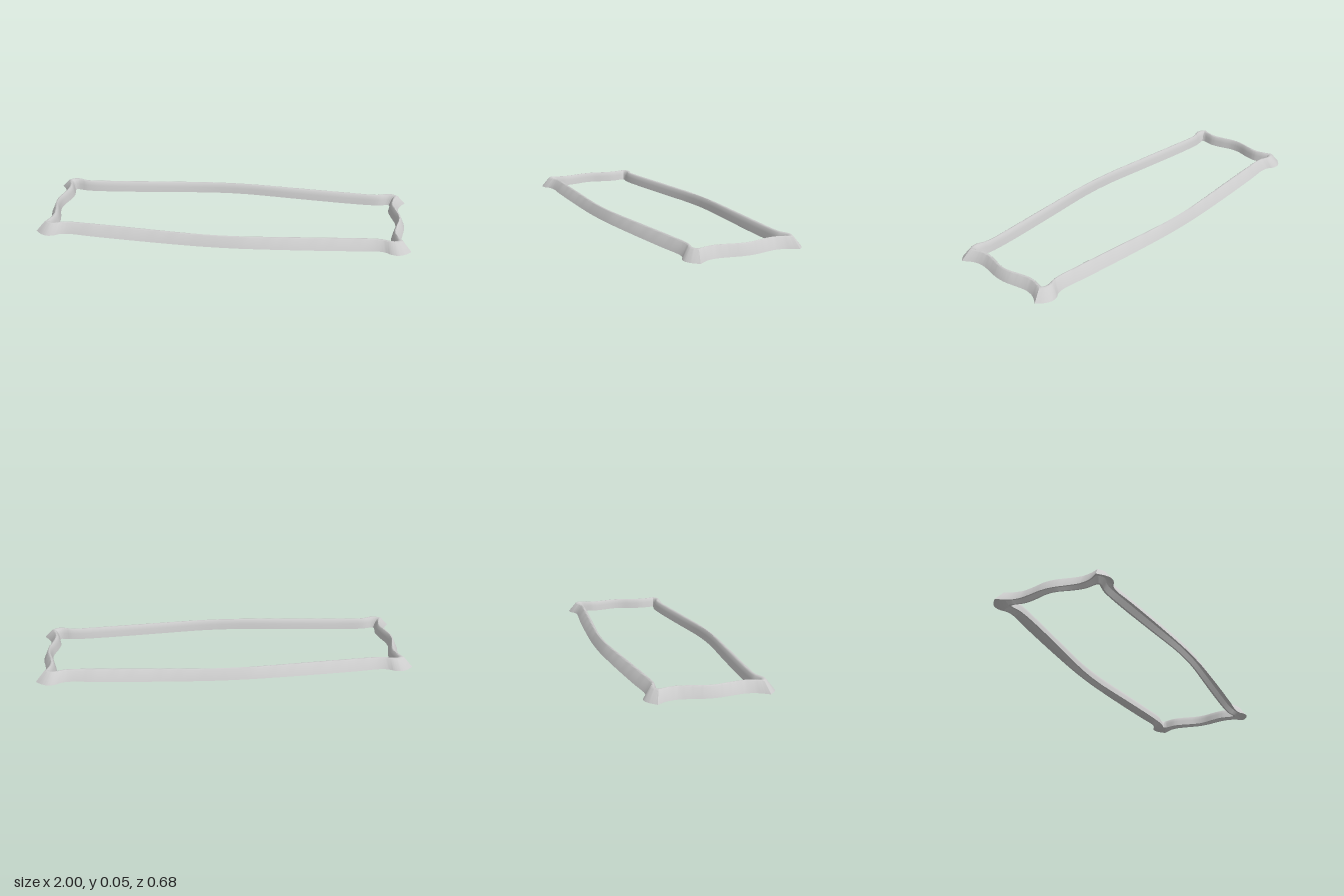
import * as THREE from 'three';
import { toCreasedNormals } from 'three/addons/utils/BufferGeometryUtils.js';

const HEIGHT = 0.055;

// One quarter of the frame: [outer x, outer z, inner x, inner z]
// Long rail, from the front centre round the curl to the corner tip
const LONG_RAIL = [
  [0, 0.338, 0, 0.286], [0.12, 0.336, 0.12, 0.282], [0.4, 0.32, 0.4, 0.256],
  [0.68, 0.298, 0.68, 0.232], [0.83, 0.284, 0.81, 0.226], [0.87, 0.293, 0.85, 0.228],
  [0.895, 0.309, 0.87, 0.232], [0.93, 0.316, 0.888, 0.236], [0.965, 0.302, 0.9, 0.238],
  [1, 0.27, 0.908, 0.238],
];
// Short rail, from the corner tip to the middle of the end
const SHORT_RAIL = [
  [1, 0.27, 0.908, 0.238], [0.98, 0.242, 0.911, 0.226], [0.963, 0.208, 0.908, 0.205],
  [0.956, 0.16, 0.901, 0.16], [0.965, 0.1, 0.911, 0.1], [0.977, 0.04, 0.929, 0.035],
  [0.98, 0, 0.933, 0],
];

// Moulding section: [fraction from outer to inner edge, fraction of height]
const PROFILE = [
  [0, 0], [0.48, 0.94], [0.55, 1], [0.66, 1], [0.76, 0.9], [0.88, 0.55], [1, 0],
  [0.86, 0], [0.62, 0.5], [0.16, 0],
];

// Smooth the paired edges of one rail
function sampleRail(points, steps) {
  const outer = new THREE.CatmullRomCurve3(points.map(p => new THREE.Vector3(p[0], 0, p[1])));
  const inner = new THREE.CatmullRomCurve3(points.map(p => new THREE.Vector3(p[2], 0, p[3])));
  return Array.from({ length: steps + 1 }, (_, i) => {
    const a = outer.getPoint(i / steps), b = inner.getPoint(i / steps);
    return [a.x, a.z, b.x, b.z];
  });
}

// Mirror the quarter into a closed ring of edge pairs
function frameRing() {
  const quarter = [...sampleRail(LONG_RAIL, 54), ...sampleRail(SHORT_RAIL, 36).slice(1)];
  const backQuarter = quarter.slice(0, -1).reverse().map(([a, b, c, d]) => [a, -b, c, -d]);
  const half = [...quarter, ...backQuarter].slice(0, -1);
  return [...half, ...half.map(s => s.map(v => -v))];
}

// Sweep the moulding section round the ring
function mouldingGeometry() {
  const ring = frameRing(), n = PROFILE.length;
  const positions = [], indices = [];
  ring.forEach(([ox, oz, ix, iz], i) => {
    const next = (i + 1) % ring.length;
    PROFILE.forEach(([t, h], j) => {
      positions.push(ox + (ix - ox) * t, h * HEIGHT, oz + (iz - oz) * t);
      const k = (j + 1) % n;
      const a = i * n + j, b = next * n + j, c = next * n + k, d = i * n + k;
      indices.push(a, b, c, a, c, d);
    });
  });
  const geometry = new THREE.BufferGeometry();
  geometry.setAttribute('position', new THREE.Float32BufferAttribute(positions, 3));
  geometry.setIndex(indices);
  return toCreasedNormals(geometry, 0.8);
}

export function createModel() {
  const group = new THREE.Group();
  group.name = 'ornamentalFrame';
  const material = new THREE.MeshStandardMaterial({ color: 0xcccccc });
  const moulding = new THREE.Mesh(mouldingGeometry(), material);
  moulding.name = 'frameMoulding';
  group.add(moulding);
  return group;
}
